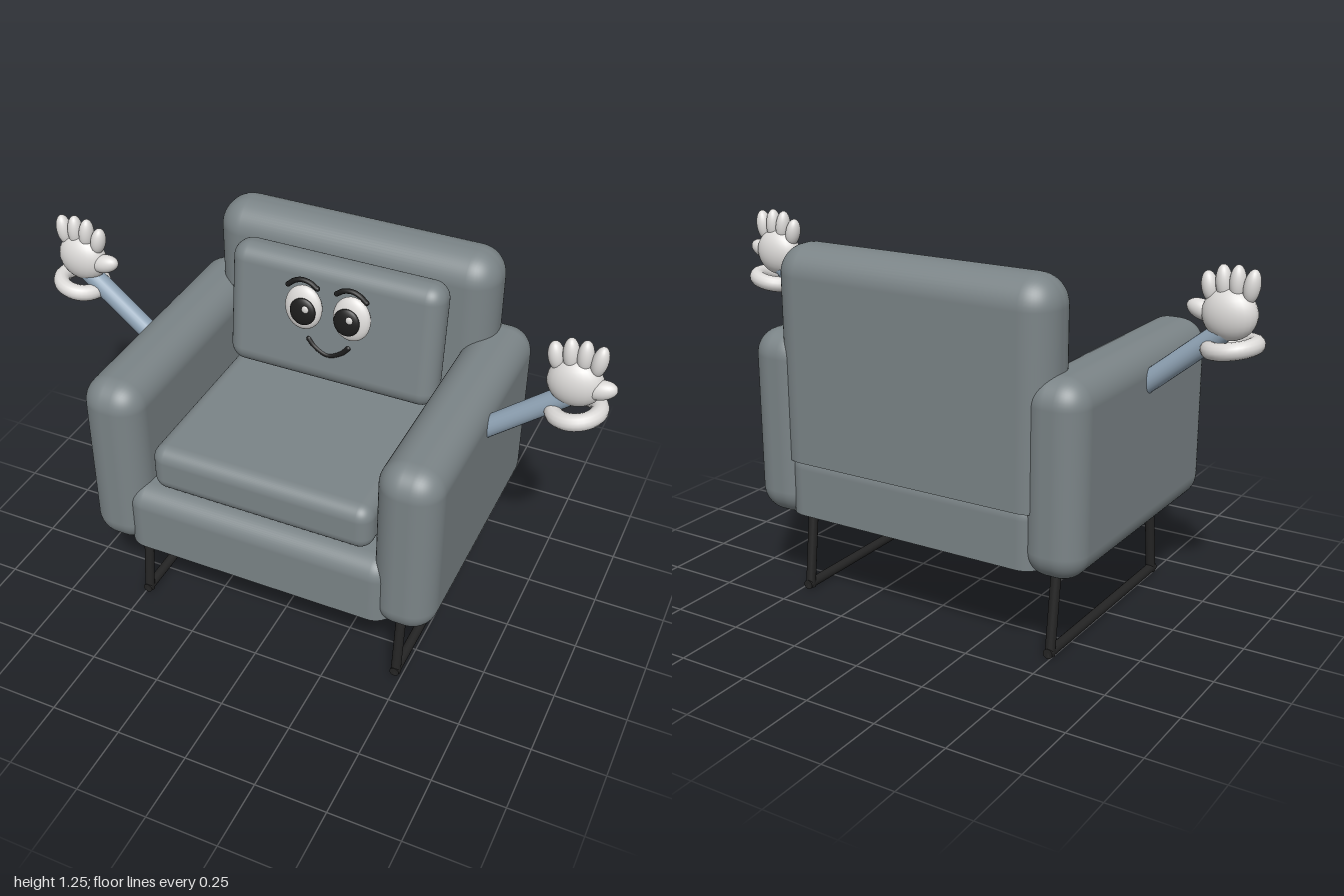
import * as THREE from 'three';
import { RoundedBoxGeometry } from 'three/addons/geometries/RoundedBoxGeometry.js';

const material = (name, color) => {
  const m = new THREE.MeshStandardMaterial({ color });
  m.name = name;
  return m;
};

export function createModel() {
  const model = new THREE.Group();
  model.name = 'armchair';
  const fabric = material('grey fabric', 0x7b8487);
  const metal = material('dark metal', 0x242424);
  const black = material('face black', 0x1c1c1c);
  const white = material('glove white', 0xdcdad8);
  const sleeve = material('arm blue', 0x92a6b8);
  const CX = -0.008; // the chair's own centre line

  const add = (parent, name, geometry, mat, x = 0, y = 0, z = 0) => {
    const mesh = new THREE.Mesh(geometry, mat);
    mesh.name = name;
    mesh.position.set(x, y, z);
    parent.add(mesh);
    return mesh;
  };

  // Padded box given by its limits
  const pad = (parent, name, [x0, x1], [y0, y1], [z0, z1], r) =>
    add(parent, name, new RoundedBoxGeometry(x1 - x0, y1 - y0, z1 - z0, 6, r), fabric,
      (x0 + x1) / 2, (y0 + y1) / 2, (z0 + z1) / 2);

  // Padded box whose underside is cut off flat with a sharp edge
  const flatPad = (parent, name, xs, [y0, y1], zs, r) => {
    const mesh = pad(parent, name, xs, [y0 - r, y1], zs, r);
    const p = mesh.geometry.attributes.position;
    const n = mesh.geometry.attributes.normal;
    const cut = y0 - mesh.position.y;
    for (let i = 0; i < p.count; i += 3) {
      let clamped = 0;
      for (let k = i; k < i + 3; k++) {
        if (p.getY(k) <= cut + 1e-4) { p.setY(k, cut); clamped++; }
      }
      if (clamped === 3) for (let k = i; k < i + 3; k++) n.setXYZ(k, 0, -1, 0);
    }
    return mesh;
  };

  const ellipsoid = (parent, name, mat, [x, y, z], [rx, ry, rz], tiltZ = 0, tiltX = 0) => {
    const mesh = add(parent, name, new THREE.SphereGeometry(1, 24, 16), mat, x, y, z);
    mesh.scale.set(rx, ry, rz);
    mesh.rotation.set(tiltX, 0, tiltZ);
    return mesh;
  };

  const rod = (parent, name, mat, a, b, r) => {
    const from = new THREE.Vector3(...a), to = new THREE.Vector3(...b);
    const dir = to.clone().sub(from);
    const mesh = add(parent, name, new THREE.CylinderGeometry(r, r, dir.length(), 20), mat);
    mesh.position.copy(from).addScaledVector(dir, 0.5);
    mesh.quaternion.setFromUnitVectors(new THREE.Vector3(0, 1, 0), dir.normalize());
    return mesh;
  };

  // Upholstery
  const chair = new THREE.Group();
  chair.name = 'chair';
  chair.position.x = CX;
  model.add(chair);
  flatPad(chair, 'base', [-0.485, 0.485], [0.33, 0.565], [-0.485, 0.487], 0.07);
  flatPad(chair, 'backrest', [-0.515, 0.515], [0.52, 1.25], [-0.49, -0.275], 0.1);
  pad(chair, 'seatCushion', [-0.395, 0.395], [0.56, 0.73], [-0.29, 0.44], 0.05);
  const pillow = pad(chair, 'backPillow', [-0.387, 0.387], [0.74, 1.192], [-0.255, -0.125], 0.06);
  pillow.rotation.x = -0.12;

  for (const s of [-1, 1]) {
    const side = s > 0 ? 'left' : 'right';
    const xs = s > 0 ? [0.411, 0.626] : [-0.626, -0.411];
    pad(chair, side + 'Armrest', xs, [0.305, 0.955], [-0.488, 0.488], 0.09);

    // Sled leg frame
    const legs = new THREE.Group();
    legs.name = side + 'LegFrame';
    legs.position.x = s * 0.484;
    chair.add(legs);
    rod(legs, 'runner', metal, [0, 0.017, -0.393], [0, 0.017, 0.393], 0.017);
    for (const f of [-1, 1]) {
      rod(legs, f > 0 ? 'frontLeg' : 'rearLeg', metal, [0, 0.005, f * 0.378], [0, 0.36, f * 0.336], 0.017);
    }

    // Arm with cuff and hand
    const arm = new THREE.Group();
    arm.name = side + 'Arm';
    chair.add(arm);
    rod(arm, 'sleeve', sleeve, [s * 0.58, 0.815, 0], [s * 0.86, 1.045, 0], 0.035);
    const cuff = add(arm, 'cuff', new THREE.TorusGeometry(0.072, 0.028, 14, 36), white, s * 0.892, 1.0, 0);
    cuff.rotation.set(Math.PI / 2, s * -0.17, 0);
    cuff.rotation.order = 'ZYX';
    cuff.rotation.set(Math.PI / 2, 0, s * 0.17);
    ellipsoid(arm, 'palm', white, [s * 0.877, 1.1, 0], [0.09, 0.083, 0.055], s * 0.15);
    [[0.808, 1.178, 0.05, 0.2], [0.853, 1.195, 0.057, 0.1], [0.897, 1.198, 0.057, 0], [0.942, 1.192, 0.055, -0.15]]
      .forEach(([x, y, len, tilt], i) =>
        ellipsoid(arm, 'finger' + (i + 1), white, [s * x, y, 0], [0.026, len, 0.028], s * tilt));
    // Both thumbs point the same way
    ellipsoid(arm, 'thumb', white, [(s > 0 ? 0.957 : -0.785), 1.1, 0.01], [0.055, 0.032, 0.03], 0.3);

    // Eye and brow
    const face = new THREE.Group();
    face.name = side + 'Eye';
    chair.add(face);
    ellipsoid(face, 'eyeball', white, [s * 0.088, 1.042, -0.112], [0.068, 0.08, 0.028], 0, -0.12);
    ellipsoid(face, 'pupil', black, [s * 0.08, 1.041, -0.086], [0.047, 0.049, 0.014], 0, -0.12);
    ellipsoid(face, 'highlight', white, [s * 0.08 + 0.015, 1.06, -0.073], [0.013, 0.014, 0.006]);
    const brow = new THREE.CatmullRomCurve3([[0.035, 1.13], [0.06, 1.147], [0.09, 1.152], [0.117, 1.143], [0.142, 1.122]]
      .map(([x, y]) => new THREE.Vector3(s * x, y, -0.106)));
    add(face, 'brow', new THREE.TubeGeometry(brow, 24, 0.009, 10), black);
    for (const [x, y] of [[0.035, 1.13], [0.142, 1.122]]) {
      ellipsoid(face, 'browTip', black, [s * x, y, -0.106], [0.009, 0.009, 0.009]);
    }
  }

  // Smile
  const smile = new THREE.CatmullRomCurve3([-0.073, -0.05, 0, 0.05, 0.073].map((x) =>
    new THREE.Vector3(x, 0.868 + 8.6 * x * x, -0.119 - 0.5 * x * x)));
  add(chair, 'smile', new THREE.TubeGeometry(smile, 32, 0.01, 10), black);
  for (const x of [-0.073, 0.073]) {
    ellipsoid(chair, 'smileTip', black, [x, 0.914, -0.122], [0.01, 0.01, 0.01]);
  }
  return model;
}
